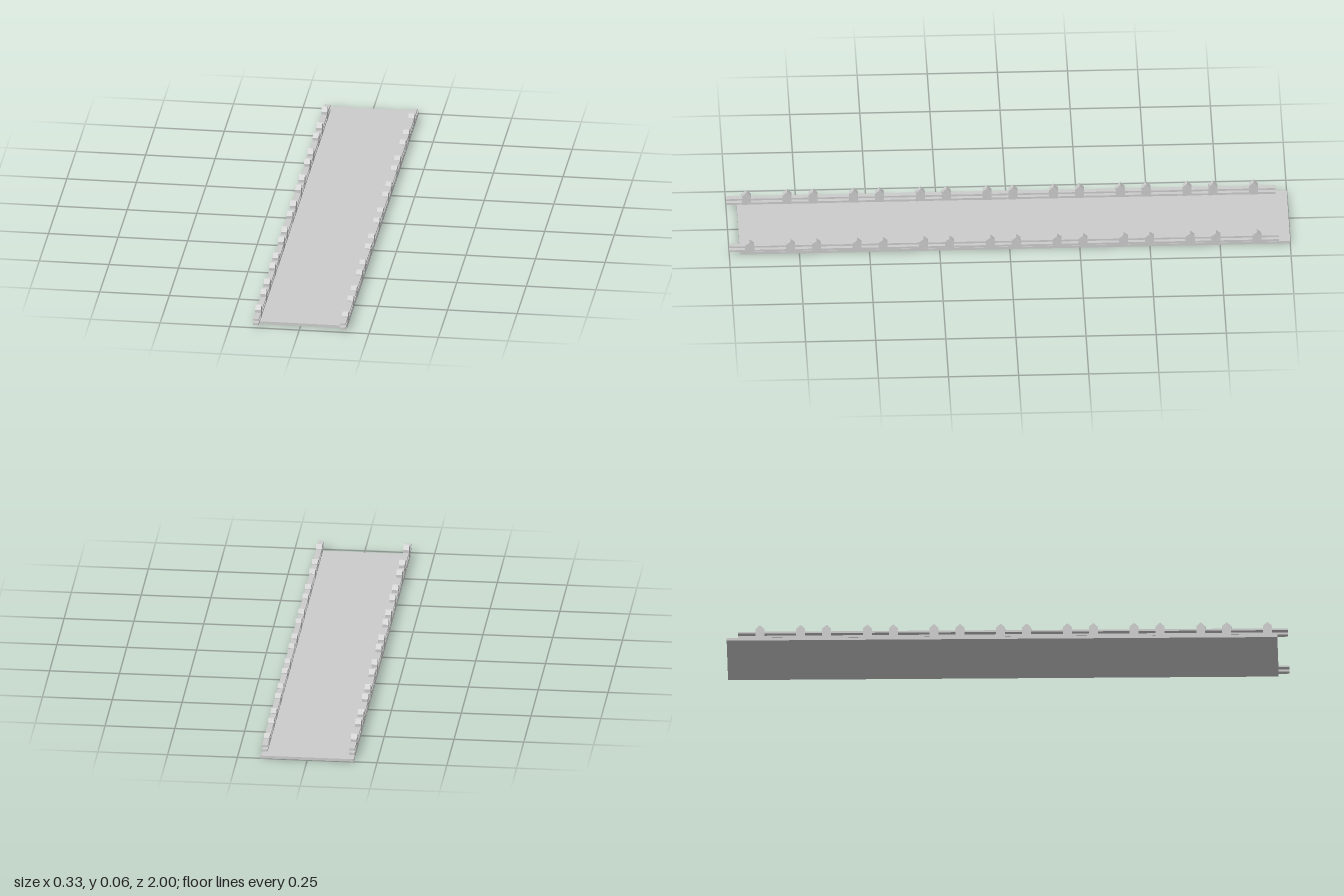
import * as THREE from 'three';

const material = new THREE.MeshStandardMaterial({ color: 0xcccccc, flatShading: true });

function addBox(parent, name, w, h, d, x, y, z) {
  const mesh = new THREE.Mesh(new THREE.BoxGeometry(w, h, d), material);
  mesh.name = name;
  mesh.position.set(x, y, z);
  parent.add(mesh);
}

// Upright with a gabled top, profile in the z-y plane, extruded across x
function postGeometry(peak, shoulder, width) {
  const half = 0.016, base = 0.01;
  const shape = new THREE.Shape([
    new THREE.Vector2(-half, base),
    new THREE.Vector2(half, base),
    new THREE.Vector2(half, shoulder),
    new THREE.Vector2(0, peak),
    new THREE.Vector2(-half, shoulder),
  ]);
  const geometry = new THREE.ExtrudeGeometry(shape, { depth: width, bevelEnabled: false });
  geometry.translate(0, 0, -width / 2);
  geometry.rotateY(Math.PI / 2);
  return geometry;
}

export function createModel() {
  const model = new THREE.Group();
  model.name = 'bridgeDeck';

  // Flat deck, set back from the front end of the rails
  addBox(model, 'deck', 0.333, 0.01, 1.962, 0, 0.005, -0.019);

  const railWidth = 0.02;
  const sides = [
    { name: 'left', x: 0.156, peak: 0.05, shoulder: 0.037 },
    { name: 'right', x: -0.156, peak: 0.06, shoulder: 0.045 },
  ];

  for (const side of sides) {
    const railing = new THREE.Group();
    railing.name = side.name + 'Railing';

    // Two long horizontal rails
    addBox(railing, 'lowerRail', railWidth, 0.008, 1.96, side.x, 0.0145, 0.02);
    addBox(railing, 'upperRail', railWidth, 0.007, 1.96, side.x, 0.031, 0.02);

    // Eight repeats of a pair of posts
    const geometry = postGeometry(side.peak, side.shoulder, railWidth + 0.001);
    for (let i = 0; i < 8; i++) {
      for (const start of [0.927, 0.782]) {
        const post = new THREE.Mesh(geometry, material);
        post.name = 'post';
        post.position.set(side.x, 0, start - i * 0.2376);
        railing.add(post);
      }
    }
    model.add(railing);
  }
  return model;
}
